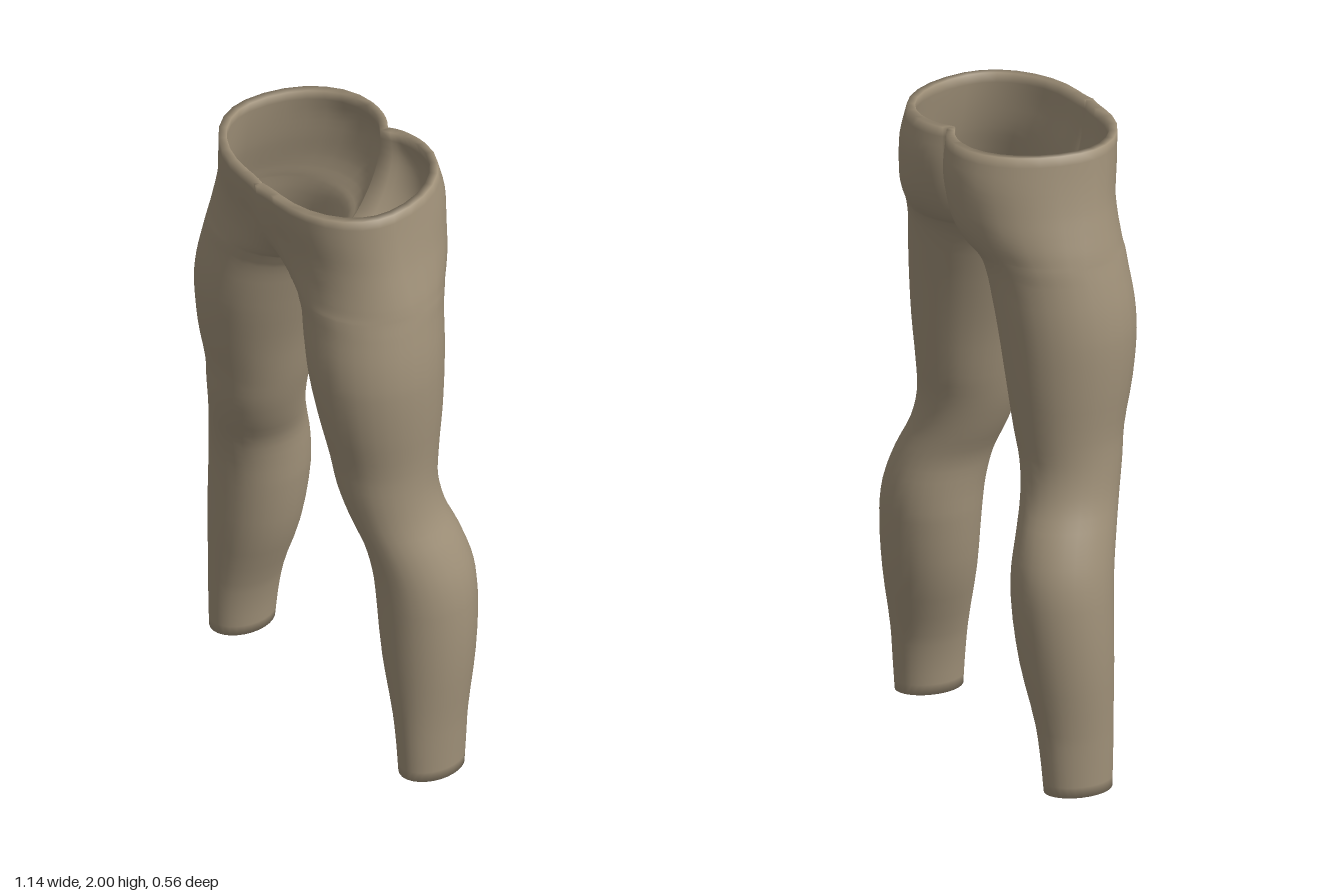
import * as THREE from 'three';
import { mergeVertices } from 'three/addons/utils/BufferGeometryUtils.js';

const CROTCH = 1.65, WALL = 0.025, STEPS = 3, Q = 7;

// Leg sections: height, outer x, inner x, front z, back z
const LEG = [
  [0, 0.55, 0.39, 0.083, -0.135],
  [0.1, 0.553, 0.38, 0.087, -0.143],
  [0.2, 0.557, 0.36, 0.09, -0.152],
  [0.4, 0.57, 0.295, 0.1, -0.187],
  [0.6, 0.565, 0.265, 0.106, -0.205],
  [0.7, 0.55, 0.26, 0.115, -0.2],
  [0.8, 0.52, 0.25, 0.135, -0.175],
  [0.9, 0.485, 0.212, 0.163, -0.14],
  [1.0, 0.469, 0.178, 0.185, -0.127],
  [1.1, 0.466, 0.152, 0.198, -0.138],
  [1.25, 0.476, 0.122, 0.23, -0.156],
  [1.4, 0.48, 0.085, 0.25, -0.17],
  [1.5, 0.472, 0.06, 0.25, -0.18],
  [1.6, 0.455, 0.03, 0.24, -0.192],
  [CROTCH, 0.445, 0, 0.238, -0.207],
];

// Hip sections: height, outer x, front z, back z, front peak x, back peak x,
// middle z, front seam z, back seam z, seam sweep in degrees
const HIPS = [
  [1.67, 0.441, 0.235, -0.22, 0.21, 0.2, 0.018, 0.1, -0.06, 84],
  [1.7, 0.434, 0.232, -0.24, 0.2, 0.175, 0.02, 0.165, -0.1, 78],
  [1.75, 0.42, 0.23, -0.262, 0.18, 0.155, 0.025, 0.218, -0.14, 72],
  [1.82, 0.401, 0.238, -0.276, 0.14, 0.14, 0.03, 0.252, -0.18, 68],
  [1.91, 0.383, 0.26, -0.28, 0.1, 0.132, 0.035, 0.27, -0.21, 66],
  [2, 0.37, 0.272, -0.258, 0.08, 0.13, 0.04, 0.28, -0.215, 64],
];

// All sections in one layout: xo, xi, zf, zb, xf, xb, zm, sf, sb, sweep
function sections() {
  const keys = LEG.map(([y, xo, xi, zf, zb]) => {
    const mx = (xo + xi) / 2, mz = (zf + zb) / 2;
    return [y, xo, xi, zf, zb, mx, mx, mz, mz, mz, 90];
  });
  for (const [y, xo, zf, zb, ...rest] of HIPS) keys.push([y, xo, 0, zf, zb, ...rest]);
  const heights = keys.map(k => k[0]);
  const spline = new THREE.CubicInterpolant(heights, keys.flatMap(k => k.slice(1)), 10, new Float64Array(10));
  const rows = [];
  heights.forEach((y, i) => {
    const n = i + 1 < heights.length ? STEPS : 1;
    for (let s = 0; s < n; s++) {
      const h = n === 1 ? y : y + (heights[i + 1] - y) * s / n;
      rows.push([h, ...spline.evaluate(h)]);
    }
  });
  return rows;
}

// One section from the front seam round the outside to the back seam
function ring([y, xo, xi, zf, zb, xf, xb, zm, sf, sb, sweep]) {
  if (y <= CROTCH) { sf = sb = zm; sweep = 90; } else xi = 0;
  const T = sweep * Math.PI / 180, pts = [];
  const seam = (u, px, pz, sz) => pts.push([
    px + (xi - px) * Math.sin(u * T) / Math.sin(T), y,
    pz + (sz - pz) * (1 - Math.cos(u * T)) / (1 - Math.cos(T))]);
  const outer = (u, px, pz) => pts.push([
    px + (xo - px) * Math.sin(u * Math.PI / 2), y,
    zm + (pz - zm) * Math.cos(u * Math.PI / 2)]);
  for (let i = 0; i < Q; i++) seam(1 - i / Q, xf, zf, sf);
  for (let i = 0; i < Q; i++) outer(i / Q, xf, zf);
  for (let i = 0; i < Q; i++) outer(1 - i / Q, xb, zb);
  for (let i = 0; i <= Q; i++) seam(i / Q, xb, zb, sb);
  return pts;
}

// Outer skin: one half and its mirror, welded along the centre seam
function outerSkin() {
  const rings = sections().map(ring), cols = rings[0].length;
  const half = rings.length * cols, pos = [], idx = [];
  for (const side of [1, -1]) {
    const base = side > 0 ? 0 : half;
    for (const r of rings) for (const [x, y, z] of r) pos.push(side * x, y, z);
    for (let r = 0; r + 1 < rings.length; r++) {
      for (let c = 0; c + 1 < cols; c++) {
        const a = base + r * cols + c, b = a + 1, d = a + cols, e = d + 1;
        if (side > 0) idx.push(a, b, e, a, e, d);
        else idx.push(a, e, b, a, d, e);
      }
    }
  }
  const g = new THREE.BufferGeometry();
  g.setAttribute('position', new THREE.Float32BufferAttribute(pos, 3));
  g.setIndex(idx);
  const welded = mergeVertices(g, 1e-4);
  welded.computeVertexNormals();
  return welded;
}

// Add an inner lining and close the open edges at waist and ankles
function thicken(skin) {
  const p = skin.attributes.position, n = skin.attributes.normal;
  const count = p.count, pos = Array.from(p.array), src = Array.from(skin.index.array), idx = [...src];
  for (let i = 0; i < count; i++) {
    const y = p.getY(i), open = y < 0.001 || y > 1.999;
    pos.push(p.getX(i) - n.getX(i) * WALL, open ? y : y - n.getY(i) * WALL, p.getZ(i) - n.getZ(i) * WALL);
  }
  const edges = new Set();
  for (let i = 0; i < src.length; i += 3) {
    const t = [src[i], src[i + 1], src[i + 2]];
    idx.push(t[0] + count, t[2] + count, t[1] + count);
    t.forEach((a, k) => edges.add(a + '_' + t[(k + 1) % 3]));
  }
  for (const edge of edges) {
    const [a, b] = edge.split('_').map(Number);
    if (!edges.has(b + '_' + a)) idx.push(b, a, a + count, b, a + count, b + count);
  }
  const g = new THREE.BufferGeometry();
  g.setAttribute('position', new THREE.Float32BufferAttribute(pos, 3));
  g.setIndex(idx);
  g.computeVertexNormals();
  return g;
}

export function createModel() {
  const group = new THREE.Group();
  group.name = 'leggings';
  const cloth = new THREE.MeshStandardMaterial({ color: 0xa09179 });
  cloth.name = 'khaki cloth';
  const mesh = new THREE.Mesh(thicken(outerSkin()), cloth);
  mesh.name = 'trousers';
  group.add(mesh);
  return group;
}
